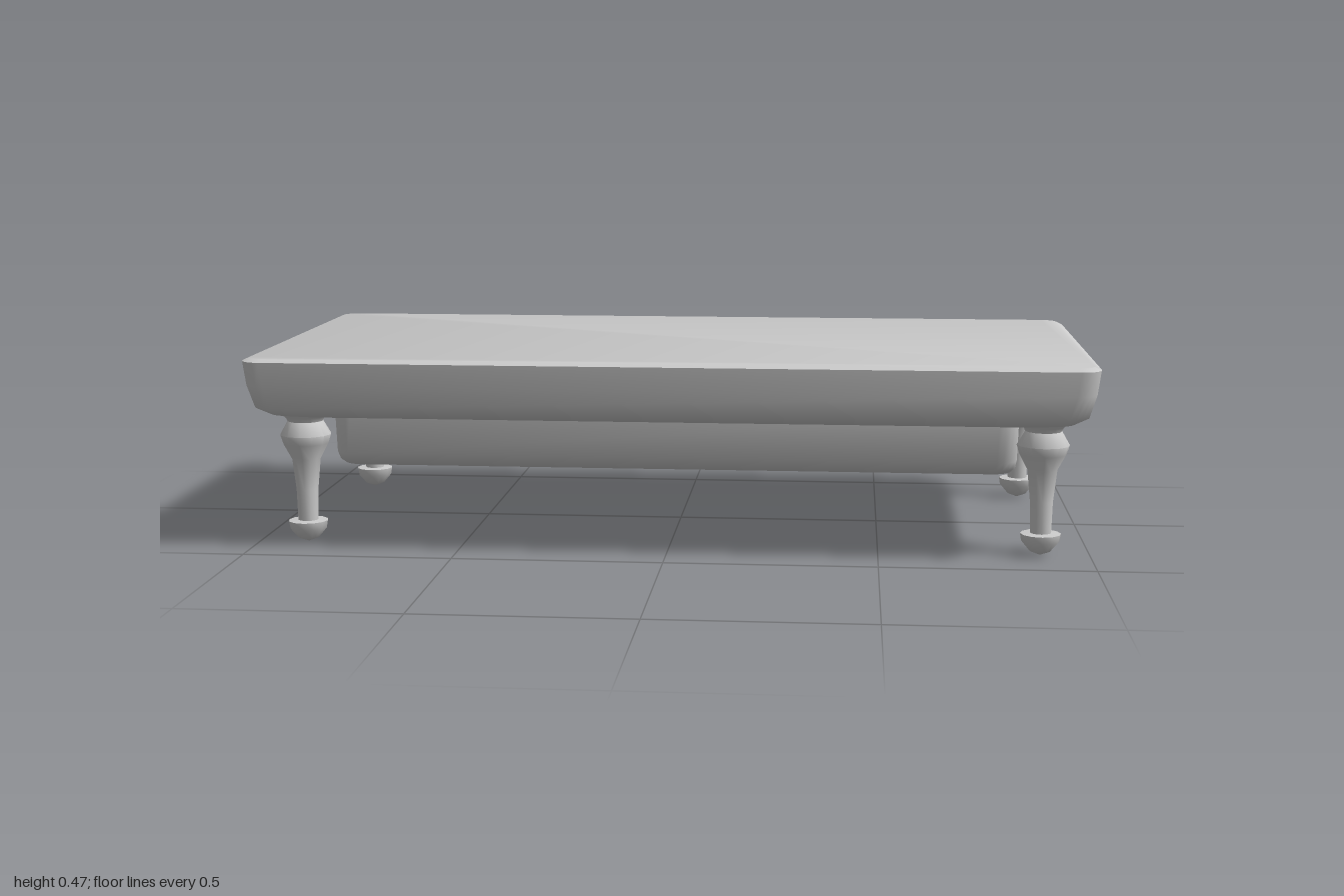
import * as THREE from 'three';
import { toCreasedNormals } from 'three/addons/utils/BufferGeometryUtils.js';

const material = new THREE.MeshStandardMaterial({ color: 0xcccccc });

// One outline point of a rounded rectangle; four corners of `steps` segments each
function outline(halfX, halfZ, radius, steps = 5) {
  const points = [];
  const r = Math.min(radius, halfX, halfZ);
  for (let c = 0; c < 4; c++) {
    const sx = c === 0 || c === 3 ? 1 : -1;
    const sz = c < 2 ? 1 : -1;
    for (let i = 0; i <= steps; i++) {
      const a = (c + i / steps) * Math.PI / 2;
      points.push([sx * (halfX - r) + r * Math.cos(a), sz * (halfZ - r) + r * Math.sin(a)]);
    }
  }
  return points;
}

// Closed body through rounded rectangles [y, halfX, halfZ, radius], bottom to top
function loft(levels, crease) {
  const positions = [], index = [];
  const rings = levels.map(([y, hx, hz, r]) => outline(hx, hz, r).map(([x, z]) => [x, y, z]));
  const n = rings[0].length;
  rings.forEach(ring => ring.forEach(p => positions.push(...p)));
  for (let j = 0; j < rings.length - 1; j++) {
    for (let i = 0; i < n; i++) {
      const a = j * n + i, b = j * n + (i + 1) % n;
      index.push(a, a + n, b, b, a + n, b + n);
    }
  }
  // End caps
  const last = (rings.length - 1) * n;
  for (let i = 1; i < n - 1; i++) {
    index.push(0, i, i + 1, last, last + i + 1, last + i);
  }
  const geometry = new THREE.BufferGeometry();
  geometry.setAttribute('position', new THREE.Float32BufferAttribute(positions, 3));
  geometry.setIndex(index);
  return toCreasedNormals(geometry, crease);
}

function addMesh(parent, name, geometry) {
  const mesh = new THREE.Mesh(geometry, material);
  mesh.name = name;
  parent.add(mesh);
  return mesh;
}

export function createModel() {
  const model = new THREE.Group();
  model.name = 'lowTable';

  // Thick top, rounded towards its underside
  addMesh(model, 'tableTop', loft([
    [0.318, 0.8, 0.3, 0.05],
    [0.313, 0.9, 0.39, 0.05],
    [0.325, 0.95, 0.445, 0.05],
    [0.345, 0.978, 0.477, 0.05],
    [0.4, 0.993, 0.49, 0.05],
    [0.458, 1, 0.495, 0.05],
    [0.465, 0.985, 0.482, 0.04],
  ], 0.9));

  // Shallow tray hanging under the top
  addMesh(model, 'underTray', loft([
    [0.157, 0.4, 0.01, 0.01],
    [0.163, 0.78, 0.14, 0.05],
    [0.173, 0.822, 0.245, 0.05],
    [0.185, 0.83, 0.265, 0.05],
    [0.207, 0.832, 0.285, 0.05],
    [0.325, 0.835, 0.292, 0.05],
  ], 0.9));

  // Turned legs with a bulb below the top and a round foot
  const profile = [
    [0, 0], [0.025, 0.01], [0.045, 0.034], [0.048, 0.052], [0.025, 0.054],
    [0.027, 0.13], [0.035, 0.205], [0.055, 0.243], [0.062, 0.265],
    [0.043, 0.298], [0.048, 0.308], [0.07, 0.325],
  ].map(([r, y]) => new THREE.Vector2(r, y));
  const legGeometry = toCreasedNormals(new THREE.LatheGeometry(profile, 12), 0.9);
  for (const [x, xName] of [[0.883, 'Left'], [-0.883, 'Right']]) {
    for (const [z, zName] of [[0.343, 'front'], [-0.343, 'back']]) {
      addMesh(model, `${zName}${xName}Leg`, legGeometry).position.set(x, 0, z);
    }
  }
  return model;
}
